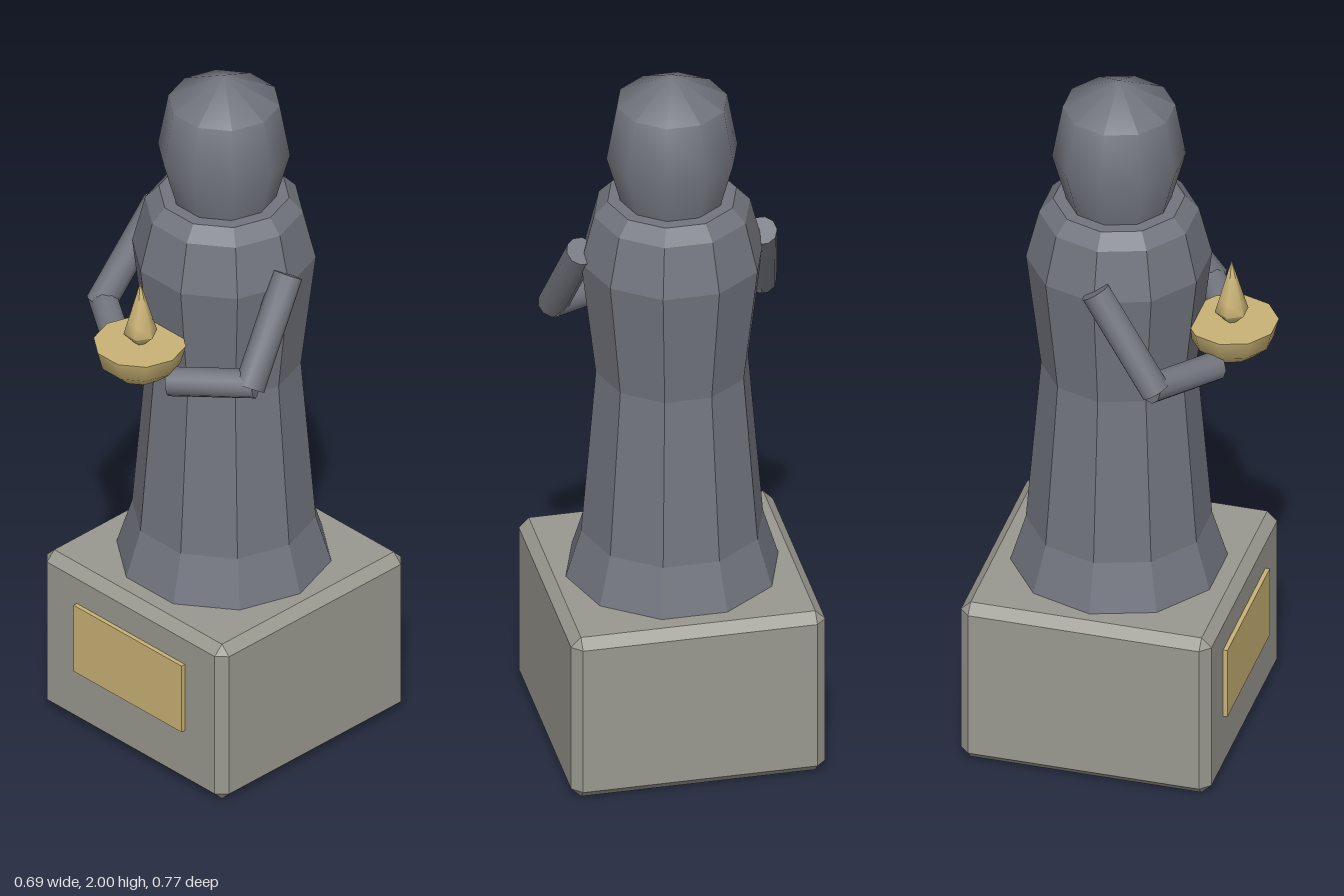
import * as THREE from 'three';
import { toCreasedNormals } from 'three/addons/utils/BufferGeometryUtils.js';
import { ConvexGeometry } from 'three/addons/geometries/ConvexGeometry.js';

const mat = (name, color) => {
  const m = new THREE.MeshStandardMaterial({ color });
  m.name = name;
  return m;
};

export function createModel() {
  const group = new THREE.Group();
  const stone = mat('pedestal stone', 0x9a9990);
  const slate = mat('statue slate', 0x72757e);
  const brass = mat('brass', 0xc9b275);
  const axisZ = -0.042; // centre line of pedestal and figure

  const add = (name, geometry, material, x = 0, y = 0, z = 0) => {
    const mesh = new THREE.Mesh(geometry, material);
    mesh.name = name;
    mesh.position.set(x, y, z);
    group.add(mesh);
    return mesh;
  };

  // Lathe from [radius, y] pairs, bottom to top, with a corner on the x axis
  const lathe = (profile, sides, crease) => {
    const points = profile.map(([r, y]) => new THREE.Vector2(r, y));
    const geometry = new THREE.LatheGeometry(points, sides, Math.PI / 2);
    return toCreasedNormals(geometry, crease);
  };

  // Pedestal: box with chamfered edges and corners
  const half = [0.345, 0.245, 0.345];
  const bevel = 0.027;
  const corners = [];
  for (const sx of [-1, 1]) for (const sy of [-1, 1]) for (const sz of [-1, 1]) {
    for (let face = 0; face < 3; face++) {
      const c = half.map((h, i) => (i === face ? h : h - bevel));
      corners.push(new THREE.Vector3(sx * c[0], sy * c[1], sz * c[2]));
    }
  }
  add('pedestal', new ConvexGeometry(corners), stone, 0, 0.245, axisZ);
  add('plaque', new THREE.BoxGeometry(0.41, 0.21, 0.03), brass, 0, 0.28, 0.3);

  // Faceted robe and smooth hooded head
  add('robe', lathe([[0, 0.485], [0.29, 0.485], [0.247, 0.625], [0.207, 1.11],
    [0.247, 1.45], [0.212, 1.59], [0.175, 1.63], [0, 1.63]], 10, 0.02), slate, 0, 0, axisZ);
  add('head', lathe([[0, 1.6], [0.132, 1.6], [0.178, 1.765], [0.15, 1.92], [0, 2]], 10, 1),
    slate, 0, 0, axisZ);

  // Arms: a rod for each segment, mirrored left and right
  const rod = (name, a, b, radius) => {
    const from = new THREE.Vector3(...a);
    const dir = new THREE.Vector3(...b).sub(from);
    const geometry = new THREE.CylinderGeometry(radius, radius, dir.length(), 10);
    const mesh = add(name, toCreasedNormals(geometry, 1), slate);
    mesh.position.copy(from).addScaledVector(dir, 0.5);
    mesh.quaternion.setFromUnitVectors(new THREE.Vector3(0, 1, 0), dir.normalize());
  };
  for (const [side, s] of [['left', 1], ['right', -1]]) {
    rod(side + 'UpperArm', [s * 0.245, 1.485, -0.038], [s * 0.283, 1.225, 0.14], 0.041);
    rod(side + 'Forearm', [s * 0.29, 1.235, 0.125], [s * 0.09, 1.205, 0.25], 0.04);
  }

  // Oil lamp: shallow bowl with a small flame
  add('lampBowl', lathe([[0, 1.19], [0.066, 1.203], [0.11, 1.243], [0.124, 1.297], [0, 1.297]],
    10, 1), brass, 0, 0, 0.27);
  add('flame', lathe([[0.015, 1.295], [0.046, 1.328], [0.035, 1.365], [0, 1.485]], 6, 1.1),
    brass, 0, 0, 0.268);

  return group;
}
